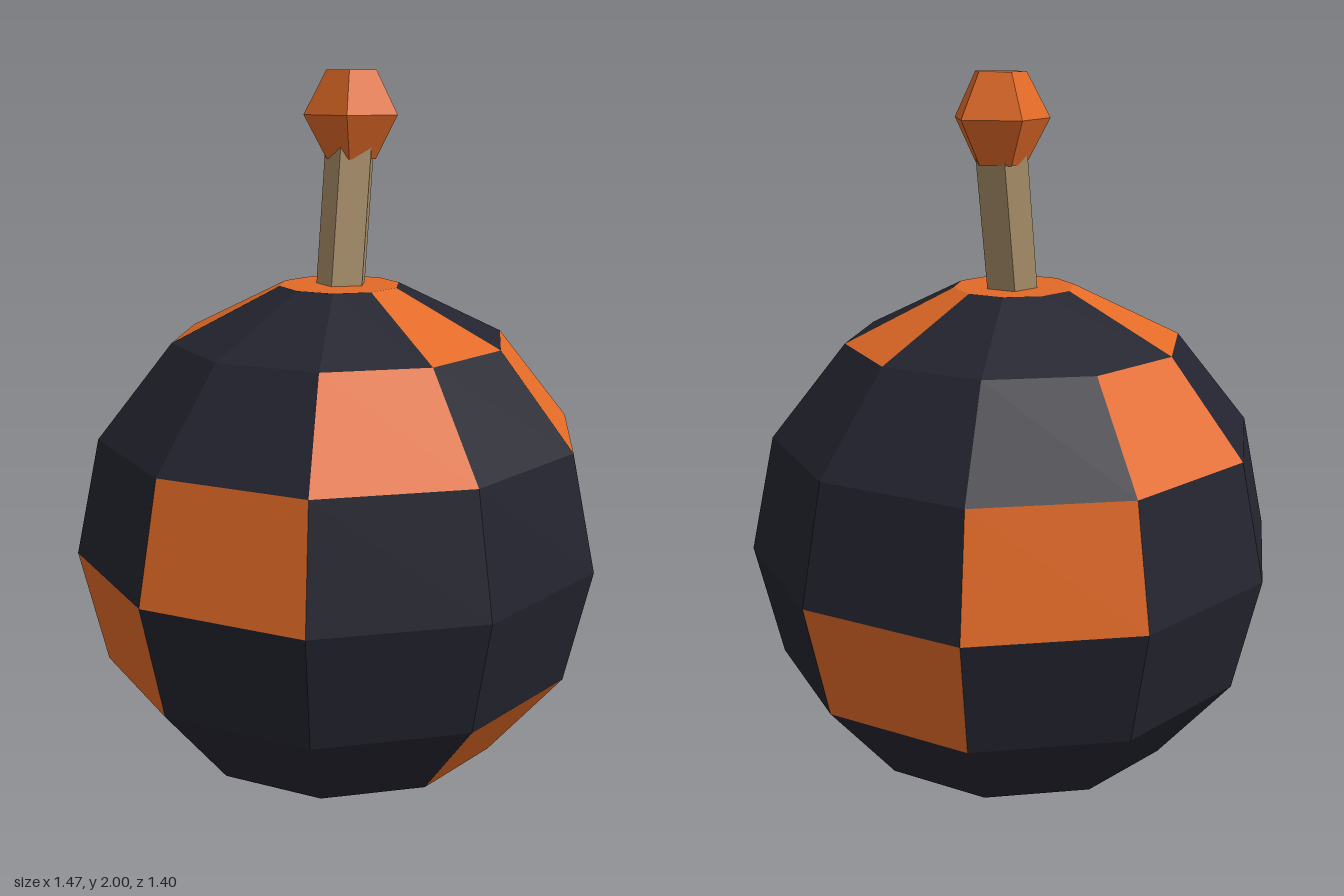
import * as THREE from 'three';

export function createModel() {
  const flat = (name, color) => new THREE.MeshStandardMaterial({ name, color, flatShading: true });
  const navy = flat('dark navy', 0x242430);
  const orange = flat('orange', 0xe26a27);
  const tan = flat('tan', 0xa88e68);

  const model = new THREE.Group();
  model.name = 'roundBomb';
  const add = (name, geometry, material) => {
    const mesh = new THREE.Mesh(geometry, material);
    mesh.name = name;
    model.add(mesh);
    return mesh;
  };

  // Ten-sided ball: profile rows from the bottom cap to the top cap
  const SIDES = 10;
  const profile = [
    [0, 0], [0.165, 0], [0.46, 0.145], [0.665, 0.4], [0.735, 0.72],
    [0.665, 1.04], [0.46, 1.295], [0.165, 1.44], [0, 1.44],
  ].map(([r, y]) => new THREE.Vector2(r, y));
  const lathe = new THREE.LatheGeometry(profile, SIDES, Math.PI / 2);
  const ball = lathe.toNonIndexed();
  ball.computeVertexNormals();
  ball.clearGroups();

  // Spiralling orange panels, with orange caps at both poles
  const rows = profile.length - 1;
  for (let s = 0; s < SIDES; s++) {
    for (let row = 0; row < rows; row++) {
      const column = SIDES - 1 - s;
      const band = row - 1;
      const isCap = row === 0 || row === rows - 1;
      const isOrange = isCap || (column + band) % 4 === 1;
      ball.addGroup((s * rows + row) * 6, 6, isOrange ? 1 : 0);
    }
  }
  add('ball', ball, [navy, orange]);

  // Five-sided fuse leaning backwards, from inside the ball to inside the tip
  const lean = 0.165, bottom = 1.38, top = 1.86;
  const fuse = new THREE.CylinderGeometry(0.071, 0.071, top - bottom, 5);
  const p = fuse.attributes.position;
  for (let i = 0; i < p.count; i++) {
    const y = p.getY(i) + (top + bottom) / 2;
    p.setY(i, y);
    p.setZ(i, p.getZ(i) - 0.017 - lean * (y - 1.44));
  }
  fuse.computeVertexNormals();
  add('fuse', fuse, tan);

  // Faceted burning tip
  const tipProfile = [[0, 1.77], [0.07, 1.77], [0.132, 1.885], [0.07, 2], [0, 2]]
    .map(([r, y]) => new THREE.Vector2(r, y));
  const tip = new THREE.LatheGeometry(tipProfile, 5, Math.PI / 2).toNonIndexed();
  tip.computeVertexNormals();
  add('fuseTip', tip, orange).position.z = -0.08;

  return model;
}
